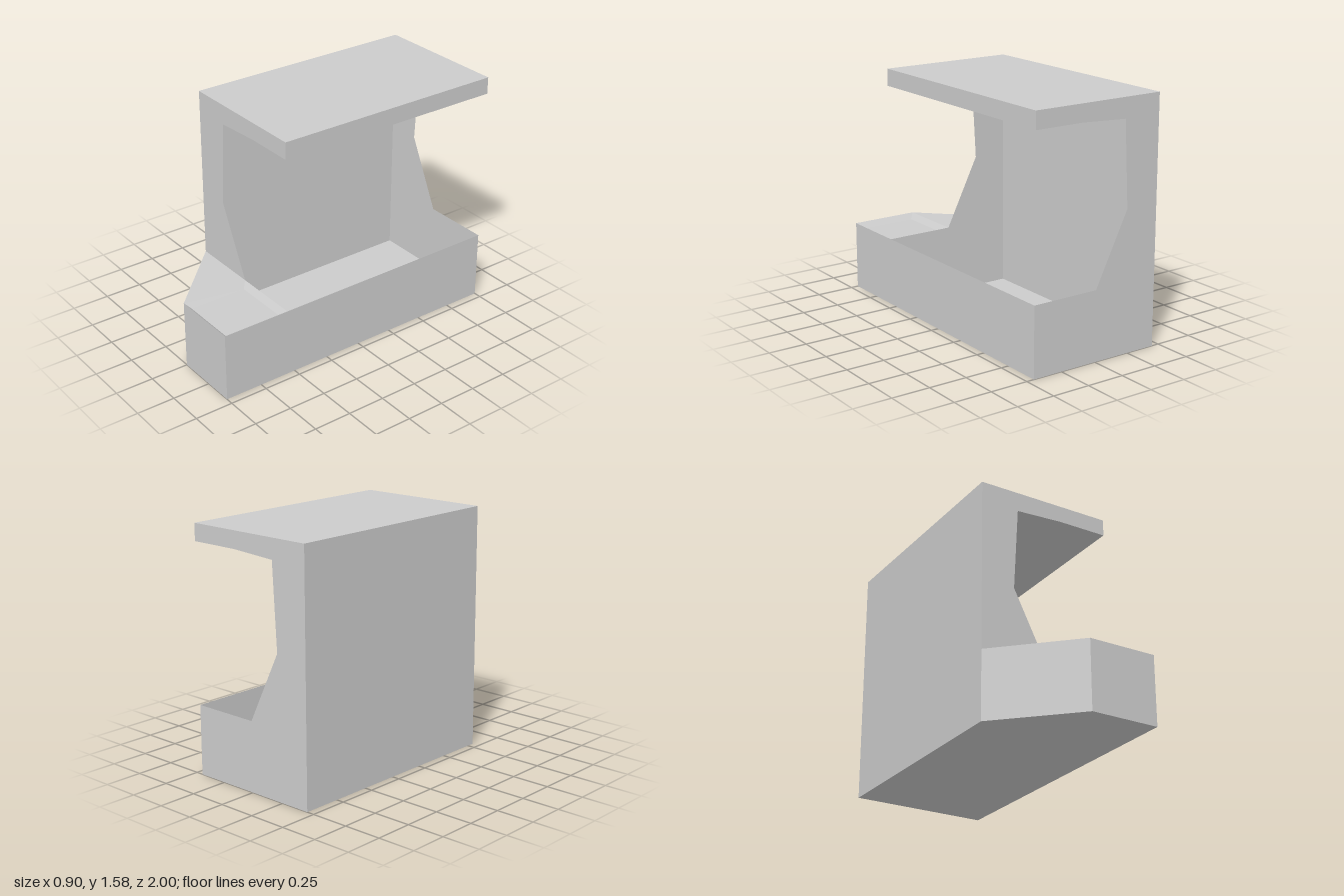
import * as THREE from 'three';

const W = 0.45, BACK = -1, MID = 0.55, FRONT = 1, LEDGE = 0.45, TOP = 1.575, RECESS = 0.035;

// Flat-shaded strip of quads between two matching rows of points
function ruled(a, b) {
  const pos = [];
  for (let i = 0; i < a.length - 1; i++) {
    pos.push(...a[i], ...a[i + 1], ...b[i + 1], ...a[i], ...b[i + 1], ...b[i]);
  }
  const g = new THREE.BufferGeometry();
  g.setAttribute('position', new THREE.Float32BufferAttribute(pos, 3));
  g.computeVertexNormals();
  return g;
}

const shapeOf = (pts) => new THREE.Shape(pts.map(([x, y]) => new THREE.Vector2(x, y)));

// Horizontal plate from (x, z) corners
const plate = (pts, y) =>
  new THREE.ShapeGeometry(shapeOf(pts.map(([x, z]) => [x, -z]))).rotateX(-Math.PI / 2).translate(0, y, 0);

// Sheet following an (x, y) line along the cabin's length
const sheet = (pts) =>
  ruled(pts.map(([x, y]) => [x, y, MID]), pts.map(([x, y]) => [x, y, BACK]));

// Upright wall following an (x, z) line
const wall = (pts, y0, y1) =>
  ruled(pts.map(([x, z]) => [x, y0, z]), pts.map(([x, z]) => [x, y1, z]));

export function createModel() {
  const group = new THREE.Group();
  const grey = new THREE.MeshStandardMaterial({ color: 0xcccccc, side: THREE.DoubleSide });
  grey.name = 'plain grey';
  const add = (name, geometry) => {
    const mesh = new THREE.Mesh(geometry, grey);
    mesh.name = name;
    group.add(mesh);
  };

  // C-shaped end panels
  const ceiling = [[-0.195, 1.447], [0.12, 1.465], [W, 1.465]];
  const profile = [
    [-W, 0], [W, 0], [W, LEDGE], [0, LEDGE], [-0.225, 0.905],
    ...ceiling, [W, TOP], [-W, TOP],
  ];
  add('rearEndPanel', new THREE.ShapeGeometry(shapeOf(profile)).translate(0, 0, BACK));
  add('frontEndPanel', new THREE.ShapeGeometry(shapeOf(profile)).translate(0, 0, MID));

  // Tall side wall, roof, roof edge and ceiling
  add('tallWall', sheet([[-W, 0], [-W, TOP]]));
  add('roof', sheet([[-W, TOP], [W, TOP]]));
  add('roofEdge', sheet([[W, TOP], [W, ceiling[2][1]]]));
  add('ceiling', sheet(ceiling));

  // Floor and low walls, with the cut-off front corner
  add('floor', plate([[-W, BACK], [-W, MID], [0, FRONT], [W, FRONT], [W, BACK]], 0));
  add('lowWalls', wall([[-W, MID], [0, FRONT], [W, FRONT], [W, BACK]], 0, LEDGE));

  // Triangular corner shelf
  add('cornerShelf', plate([[-W, MID], [0, FRONT], [0, MID]], LEDGE));

  // Shallow tray with sloping rim
  const loop = (d) => [
    [d, MID + d], [W - d, MID + d], [W - d, FRONT - d], [d, FRONT - d], [d, MID + d],
  ].map(([x, z]) => [x, LEDGE - d, z]);
  add('trayRim', ruled(loop(0), loop(RECESS)));
  add('trayFloor', plate(loop(RECESS).slice(0, 4).map(([x, , z]) => [x, z]), LEDGE - RECESS));

  return group;
}
